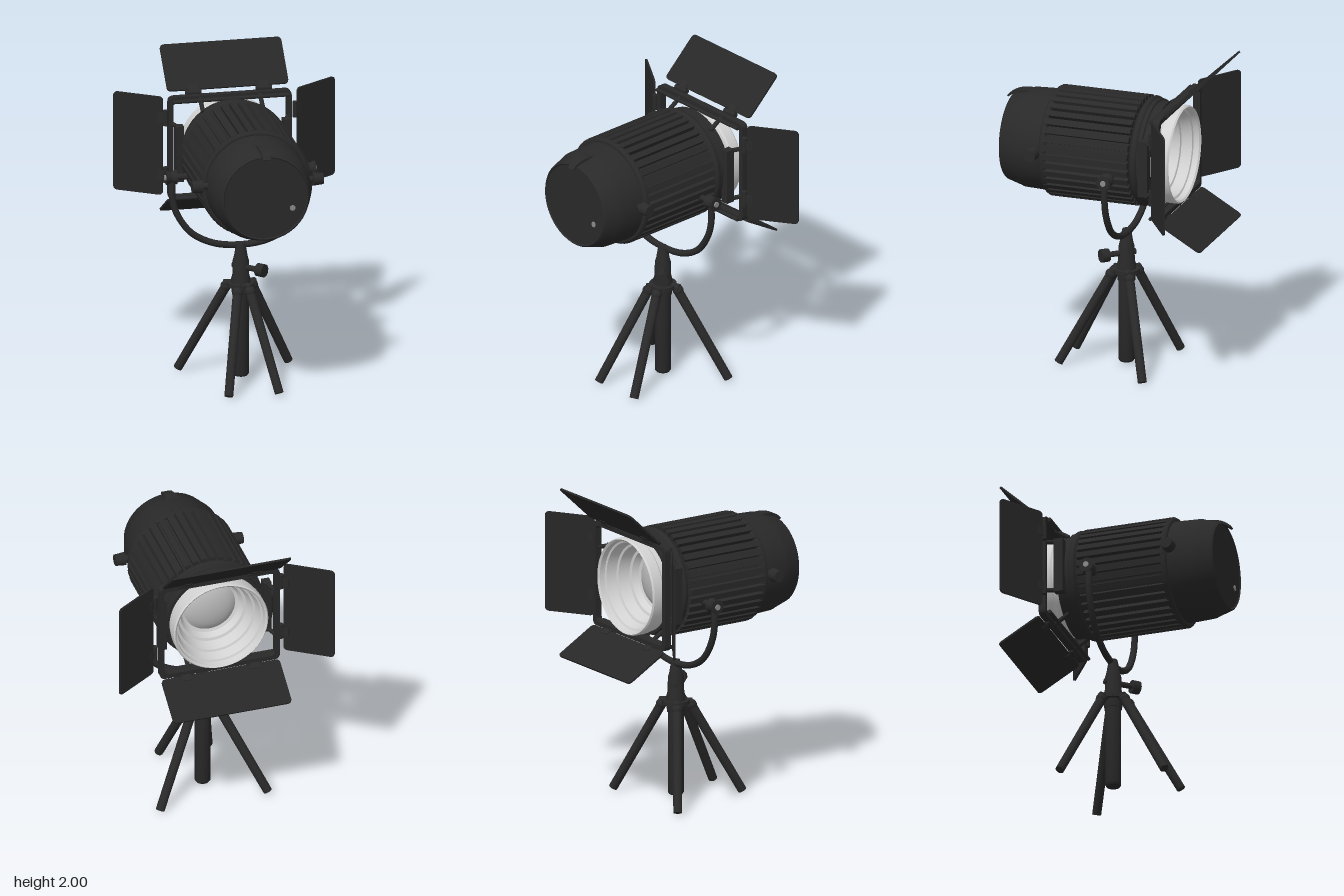
import * as THREE from 'three';
import { toCreasedNormals } from 'three/addons/utils/BufferGeometryUtils.js';

const AXIS_Y = 1.415; // height of the lamp axis
const STAND_Z = -0.075;

export function createModel() {
  const root = new THREE.Group();
  root.name = 'studioSpotlight';

  const mat = (name, color, side = THREE.FrontSide) => {
    const m = new THREE.MeshStandardMaterial({ color, side });
    m.name = name;
    return m;
  };
  const black = mat('blackPaint', 0x292929);
  const doorBlack = mat('doorBlack', 0x272727);
  const silver = mat('silverReflector', 0xd2d2d2, THREE.DoubleSide);
  const glass = mat('lensGlass', 0xbcbcbc);
  const steel = mat('steel', 0x8a8a8a);

  const V = (x, y, z) => new THREE.Vector3(x, y, z);
  const add = (name, geo, material, x = 0, y = 0, z = 0, parent = root) => {
    const m = new THREE.Mesh(geo, material);
    m.name = name;
    m.position.set(x, y, z);
    parent.add(m);
    return m;
  };
  // lathe around the lamp axis; points are [radius, z]
  const latheZ = (pts, seg = 56) => toCreasedNormals(
    new THREE.LatheGeometry(pts.map(p => new THREE.Vector2(p[0], p[1])), seg).rotateX(Math.PI / 2), 0.5);
  // round bar between two points
  const rod = (name, a, b, ra, rb = ra, material = black, seg = 16) => {
    const d = b.clone().sub(a);
    const m = add(name, new THREE.CylinderGeometry(rb, ra, d.length(), seg), material);
    m.position.copy(a).addScaledVector(d, 0.5);
    m.quaternion.setFromUnitVectors(V(0, 1, 0), d.normalize());
    return m;
  };
  const roundRect = (S, x0, y0, x1, y1, r) => {
    const s = new S();
    s.moveTo(x0 + r, y0);
    s.lineTo(x1 - r, y0); s.quadraticCurveTo(x1, y0, x1, y0 + r);
    s.lineTo(x1, y1 - r); s.quadraticCurveTo(x1, y1, x1 - r, y1);
    s.lineTo(x0 + r, y1); s.quadraticCurveTo(x0, y1, x0, y1 - r);
    s.lineTo(x0, y0 + r); s.quadraticCurveTo(x0, y0, x0 + r, y0);
    return s;
  };

  // rear housing with chamfered cap
  add('rearHousing', latheZ([[0.3, 0.3], [0.325, 0.35], [0.318, 0.4], [0.312, 0.55], [0.306, 0.565],
    [0.278, 0.66], [0.268, 0.67], [0.262, 0.662], [0, 0.662]]), black, 0, AXIS_Y);
  add('indicator', new THREE.CylinderGeometry(0.018, 0.018, 0.006, 12).rotateX(Math.PI / 2),
    steel, 0.17, 1.34, 0.664);

  // cooling fins: a toothed section along the axis
  const finCount = 38, fins = new THREE.Shape();
  for (let i = 0; i < finCount; i++) {
    [[-0.32, 0.348], [0.32, 0.348], [0.38, 0.318], [0.62, 0.318]].forEach(([t, r], k) => {
      const a = (i + t) / finCount * Math.PI * 2;
      fins[i + k ? 'lineTo' : 'moveTo'](Math.cos(a) * r, Math.sin(a) * r);
    });
  }
  add('coolingFins', new THREE.ExtrudeGeometry(fins, { depth: 0.57, bevelEnabled: false }), black, 0, AXIS_Y, -0.2);
  add('finEndRing', new THREE.TorusGeometry(0.325, 0.022, 10, 56), black, 0, AXIS_Y, 0.365);

  // front collar, open towards the lens
  add('frontCollar', latheZ([[0.3, -0.2], [0.295, -0.34], [0.32, -0.34], [0.32, -0.285], [0.332, -0.28],
    [0.332, -0.215], [0.318, -0.205], [0.3, -0.19]]), black, 0, AXIS_Y);
  add('collarRing', new THREE.TorusGeometry(0.322, 0.024, 10, 56), black, 0, AXIS_Y, -0.235);

  // reflector bowl and lens
  add('reflector', latheZ([[0.16, -0.215], [0.185, -0.225], [0.205, -0.265], [0.222, -0.27], [0.242, -0.34],
    [0.256, -0.345], [0.272, -0.41], [0.284, -0.415], [0.288, -0.45], [0.3, -0.46], [0.308, -0.45],
    [0.308, -0.385], [0.3, -0.375], [0.3, -0.31]]), silver, 0, AXIS_Y);
  add('lens', latheZ([[0, -0.265], [0.06, -0.261], [0.11, -0.25], [0.15, -0.232], [0.172, -0.212]]), glass, 0, AXIS_Y);

  // barn door frame
  const frame = roundRect(THREE.Shape, -0.39, 1.08, 0.39, 1.755, 0.04);
  frame.holes.push(roundRect(THREE.Path, -0.36, 1.11, 0.36, 1.725, 0.03));
  add('doorFrame', new THREE.ExtrudeGeometry(frame, { depth: 0.045, bevelEnabled: false }), black, 0, 0, -0.43);

  // clips joining the frame to the collar
  for (const s of [-1, 1]) {
    add('sideClip', new THREE.BoxGeometry(0.05, 0.36, 0.06), black, s * 0.34, AXIS_Y, -0.31);
    for (const y of [1.25, 1.58]) rod('clipArm', V(s * 0.335, y, -0.3), V(s * 0.37, y, -0.41), 0.014);
    for (const x of [-0.19, 0.19]) {
      rod('clipArm', V(x, AXIS_Y + s * 0.26, -0.3), V(x, AXIS_Y + s * 0.325, -0.4), 0.014);
    }
    rod('frameRail', V(-0.37, AXIS_Y + s * 0.315, -0.365), V(0.37, AXIS_Y + s * 0.315, -0.365), 0.012);
  }

  // barn doors: plate rises from its hinge along `out`, with `along` as hinge line
  const door = (name, hinge, along, out, width) => {
    const len = out.length(), up = out.clone().normalize();
    const g = new THREE.Group();
    g.name = name;
    g.applyMatrix4(new THREE.Matrix4().makeBasis(along, up, along.clone().cross(up)).setPosition(hinge));
    root.add(g);
    add('doorPlate', new THREE.ExtrudeGeometry(roundRect(THREE.Shape, -width / 2, 0, width / 2, len, 0.03),
      { depth: 0.012, bevelEnabled: false }), doorBlack, 0, 0, -0.006, g);
    for (const s of [-1, 1]) {
      add('hingeTab', new THREE.BoxGeometry(0.06, 0.06, 0.02), black, s * width * 0.29, 0.005, 0, g);
      add('hingeBarrel', new THREE.CylinderGeometry(0.017, 0.017, 0.1, 12).rotateZ(Math.PI / 2),
        black, s * width * 0.29, -0.018, 0, g);
    }
  };
  door('topDoor', V(0, 1.775, -0.45), V(1, 0, 0), V(0, 0.225, -0.24), 0.77);
  door('bottomDoor', V(0, 1.075, -0.43), V(1, 0, 0), V(0, -0.155, -0.265), 0.77);
  for (const s of [-1, 1]) {
    door('sideDoor', V(s * 0.425, 1.44, -0.395), V(0, -s, 0), V(s * 0.275, 0, -0.18), 0.64);
  }

  // curved handle tongue at the rear
  const tongue = new THREE.Shape();
  tongue.moveTo(0.52, 1.722);
  tongue.quadraticCurveTo(0.64, 1.745, 0.705, 1.675);
  tongue.lineTo(0.695, 1.668);
  tongue.quadraticCurveTo(0.63, 1.725, 0.52, 1.7);
  const tg = new THREE.ExtrudeGeometry(tongue, { depth: 1, bevelEnabled: false });
  const p = tg.attributes.position;
  for (let i = 0; i < p.count; i++) {
    const z = p.getX(i), half = THREE.MathUtils.mapLinear(z, 0.52, 0.705, 0.045, 0.022);
    p.setXYZ(i, (0.5 - p.getZ(i)) * 2 * half, p.getY(i), z);
  }
  tg.computeVertexNormals();
  add('rearHandle', tg, black);

  // yoke
  const yokePts = [[-0.43, 1.34], [-0.432, 1.2], [-0.4, 1.09], [-0.31, 0.965], [-0.17, 0.89], [0, 0.868]];
  const yokeCurve = new THREE.CatmullRomCurve3([...yokePts, ...yokePts.slice(0, 5).reverse().map(([x, y]) => [-x, y])]
    .map(([x, y]) => V(x, y, -0.085)));
  add('yoke', new THREE.TubeGeometry(yokeCurve, 64, 0.021, 10), black);

  // pivot and rear knobs
  for (const s of [-1, 1]) {
    rod('pivotPin', V(s * 0.32, 1.335, -0.09), V(s * 0.46, 1.335, -0.09), 0.02);
    rod('pivotKnob', V(s * 0.405, 1.335, -0.09), V(s * 0.44, 1.335, -0.09), 0.046, 0.034);
    rod('pivotKnob', V(s * 0.44, 1.335, -0.09), V(s * 0.472, 1.335, -0.09), 0.034, 0.046);
    rod('pivotScrew', V(s * 0.47, 1.335, -0.09), V(s * 0.48, 1.335, -0.09), 0.018, 0.018, steel);
    rod('rearKnobPin', V(s * 0.29, 1.435, 0.415), V(s * 0.36, 1.435, 0.415), 0.02);
    rod('rearKnob', V(s * 0.35, 1.435, 0.415), V(s * 0.415, 1.435, 0.415), 0.042, 0.036);
  }

  // stand: socket, post and lock knob
  const lathe = pts => toCreasedNormals(new THREE.LatheGeometry(pts.map(q => new THREE.Vector2(...q)), 28), 0.6);
  add('standSocket', lathe([[0, 0.55], [0.055, 0.55], [0.06, 0.6], [0.06, 0.65], [0.052, 0.68], [0.05, 0.77],
    [0.042, 0.8], [0.032, 0.86], [0.025, 0.885], [0, 0.885]]), black, 0, 0, STAND_Z);
  add('standPost', lathe([[0, 0.02], [0.042, 0.02], [0.05, 0.032], [0.05, 0.58], [0, 0.58]]), black, 0, 0, STAND_Z);
  add('legCollar', new THREE.CylinderGeometry(0.085, 0.085, 0.025, 24), black, 0, 0.615, STAND_Z);
  rod('lockPin', V(-0.04, 0.73, STAND_Z - 0.045), V(0.09, 0.73, 0.02), 0.018);
  rod('lockKnob', V(0.088, 0.73, 0.013), V(0.125, 0.73, 0.05), 0.042, 0.042, black, 10);

  // four splayed legs
  for (const s of [-1, 1]) {
    for (const [tx, tz, fx, fz] of [[0.085, -0.125, 0.35, -0.305], [0.04, 0.015, 0.16, 0.315]]) {
      const top = V(s * tx, 0.585, tz), foot = V(s * fx, 0.016, fz);
      rod('leg', foot, top, 0.028, 0.03);
      rod('legLug', V(s * tx * 0.4, 0.615, STAND_Z + (tz - STAND_Z) * 0.4), V(s * tx * 1.15, 0.61, tz), 0.024);
      add('legJoint', new THREE.SphereGeometry(0.034, 14, 10), black, s * tx, 0.59, tz);
    }
  }
  return root;
}
